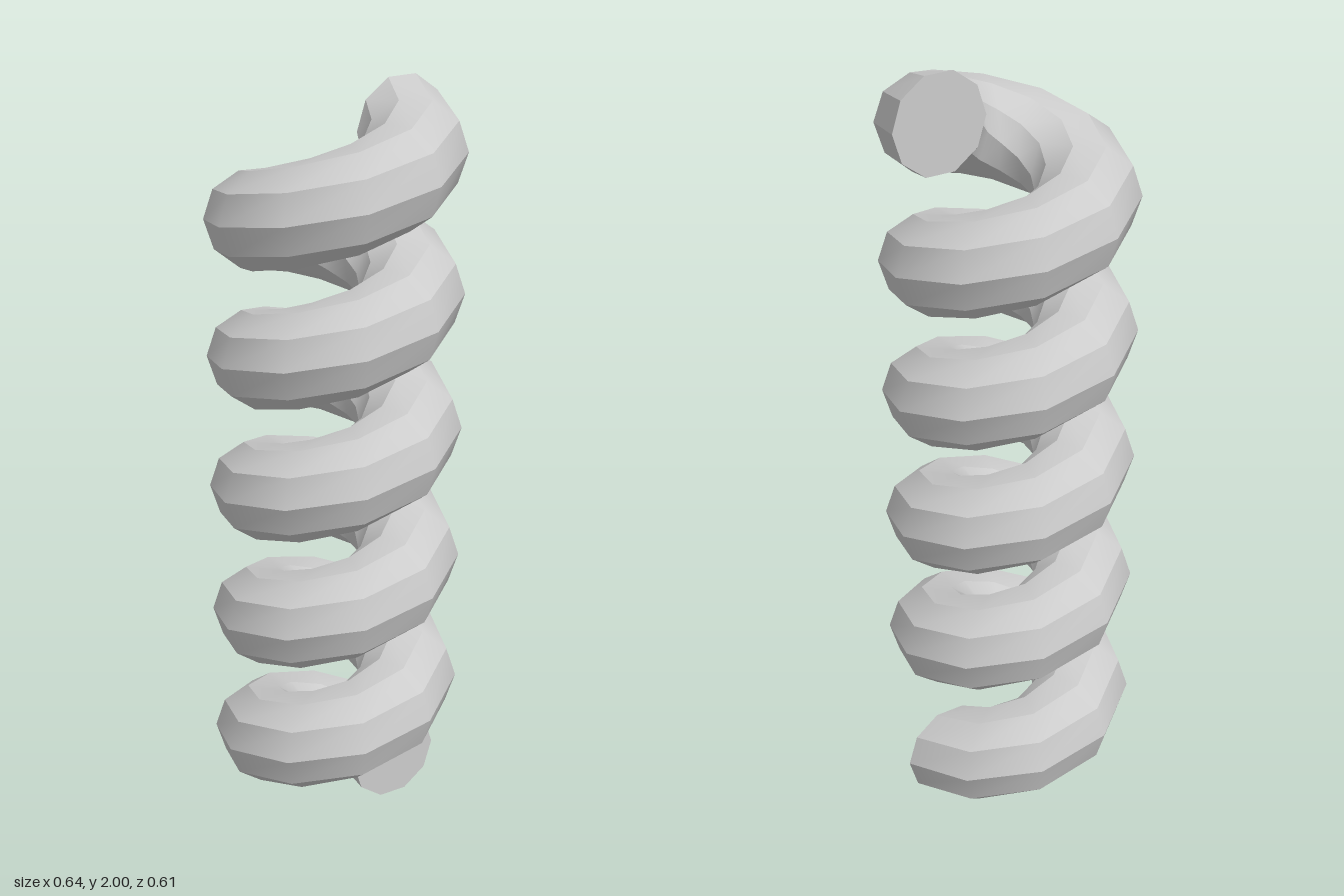
import * as THREE from 'three';

const TURNS = 5, STEPS = 10, SIDES = 10;
const COIL_R = 0.191, TUBE_R = 0.128;
const HALF_H = TUBE_R * Math.sin(Math.PI * 0.4); // the decagon lies flat at top and bottom
const RISE = 2 - 2 * HALF_H;
const COUNT = TURNS * STEPS;

// Corner k of the upright decagonal section at step s of the helix
function corner(s, k) {
  const turn = (s / STEPS) * Math.PI * 2;
  const a = (k / SIDES) * Math.PI * 2;
  const r = COIL_R + TUBE_R * Math.cos(a);
  return [r * Math.cos(turn), HALF_H + RISE * s / COUNT + TUBE_R * Math.sin(a), -r * Math.sin(turn)];
}

function makeMesh(name, positions, index, material) {
  const geometry = new THREE.BufferGeometry();
  geometry.setAttribute('position', new THREE.Float32BufferAttribute(positions, 3));
  geometry.setIndex(index);
  geometry.computeVertexNormals();
  const mesh = new THREE.Mesh(geometry, material);
  mesh.name = name;
  return mesh;
}

export function createModel() {
  const group = new THREE.Group();
  group.name = 'coilSpring';
  const material = new THREE.MeshStandardMaterial({ color: 0xcccccc });

  // Coil: one strip per side, smooth along its length and creased between sides
  const positions = [], index = [];
  for (let k = 0; k < SIDES; k++) {
    for (let s = 0; s <= COUNT; s++) {
      const a = positions.length / 3;
      positions.push(...corner(s, k), ...corner(s, k + 1));
      if (s < COUNT) index.push(a, a + 2, a + 3, a, a + 3, a + 1);
    }
  }
  group.add(makeMesh('coil', positions, index, material));

  // Flat end caps
  for (const [name, s] of [['bottomEnd', 0], ['topEnd', COUNT]]) {
    const ring = [], faces = [];
    for (let k = 0; k < SIDES; k++) {
      ring.push(...corner(s, k));
      if (k > 1) faces.push(...(s === 0 ? [0, k - 1, k] : [0, k, k - 1]));
    }
    group.add(makeMesh(name, ring, faces, material));
  }
  return group;
}
